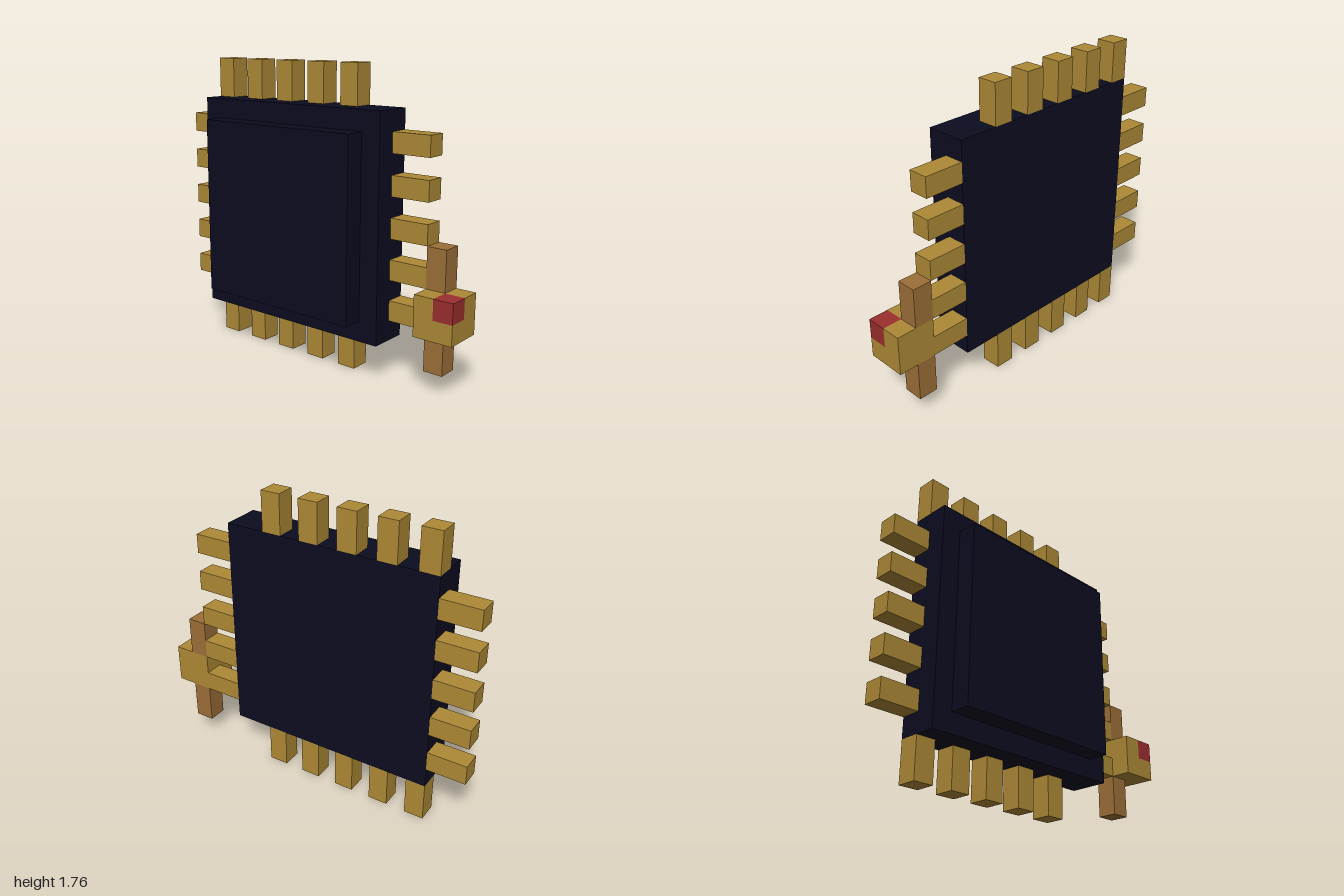
import * as THREE from 'three';

const U = 2 / 17; // one block

function flat(name, color) {
  const m = new THREE.MeshStandardMaterial({ color });
  m.name = name;
  return m;
}

export function createModel() {
  const dark = flat('dark navy', 0x0c0c20);
  const gold = flat('gold', 0xad8936);
  const brown = flat('brown', 0x9c6f38);
  const red = flat('red', 0x9a2e2e);

  const model = new THREE.Group();
  model.name = 'chip';

  // Box between two corners, measured in blocks
  function block(name, material, [x0, y0, z0], [x1, y1, z1], parent = model) {
    const geometry = new THREE.BoxGeometry((x1 - x0) * U, (y1 - y0) * U, (z1 - z0) * U);
    const mesh = new THREE.Mesh(geometry, material);
    mesh.position.set((x0 + x1) / 2, (y0 + y1) / 2, (z0 + z1) / 2).multiplyScalar(U);
    mesh.name = name;
    parent.add(mesh);
  }

  // Chip body with a raised, smaller front plate
  block('body', dark, [-6.5, 2, -1.5], [4.5, 13, 0.5]);
  block('frontPlate', dark, [-5.5, 3, 0.5], [3.5, 12, 1.5]);

  // Five pins on each edge
  const pins = new THREE.Group();
  pins.name = 'pins';
  model.add(pins);
  for (let i = 0; i < 5; i++) {
    const x = -6.5 + 2 * i;
    const y = 3 + 2 * i;
    block('topPin', gold, [x, 13, -1.5], [x + 1, 15, -0.5], pins);
    block('bottomPin', gold, [x, 0, -1.5], [x + 1, 2, -0.5], pins);
    block('rightPin', gold, [-8.5, y, -1.5], [-6.5, y + 1, -0.5], pins);
    block('leftPin', gold, [4.5, y, -1.5], [6.5, y + 1, -0.5], pins);
  }

  // Side connector: gold cube with a red corner, on an upright brown post
  const connector = new THREE.Group();
  connector.name = 'connector';
  model.add(connector);
  block('cubeBase', gold, [6.5, 3, -1.5], [8.5, 4, 0.5], connector);
  block('cubeBack', gold, [6.5, 4, -1.5], [8.5, 5, -0.5], connector);
  block('cubeFront', gold, [6.5, 4, -0.5], [7.5, 5, 0.5], connector);
  block('redCorner', red, [7.5, 4, -0.5], [8.5, 5, 0.5], connector);
  block('lowerPost', brown, [6.5, 1, -1.5], [7.5, 3, -0.5], connector);
  block('upperPost', brown, [6.5, 5, -1.5], [7.5, 7, -0.5], connector);

  return model;
}
